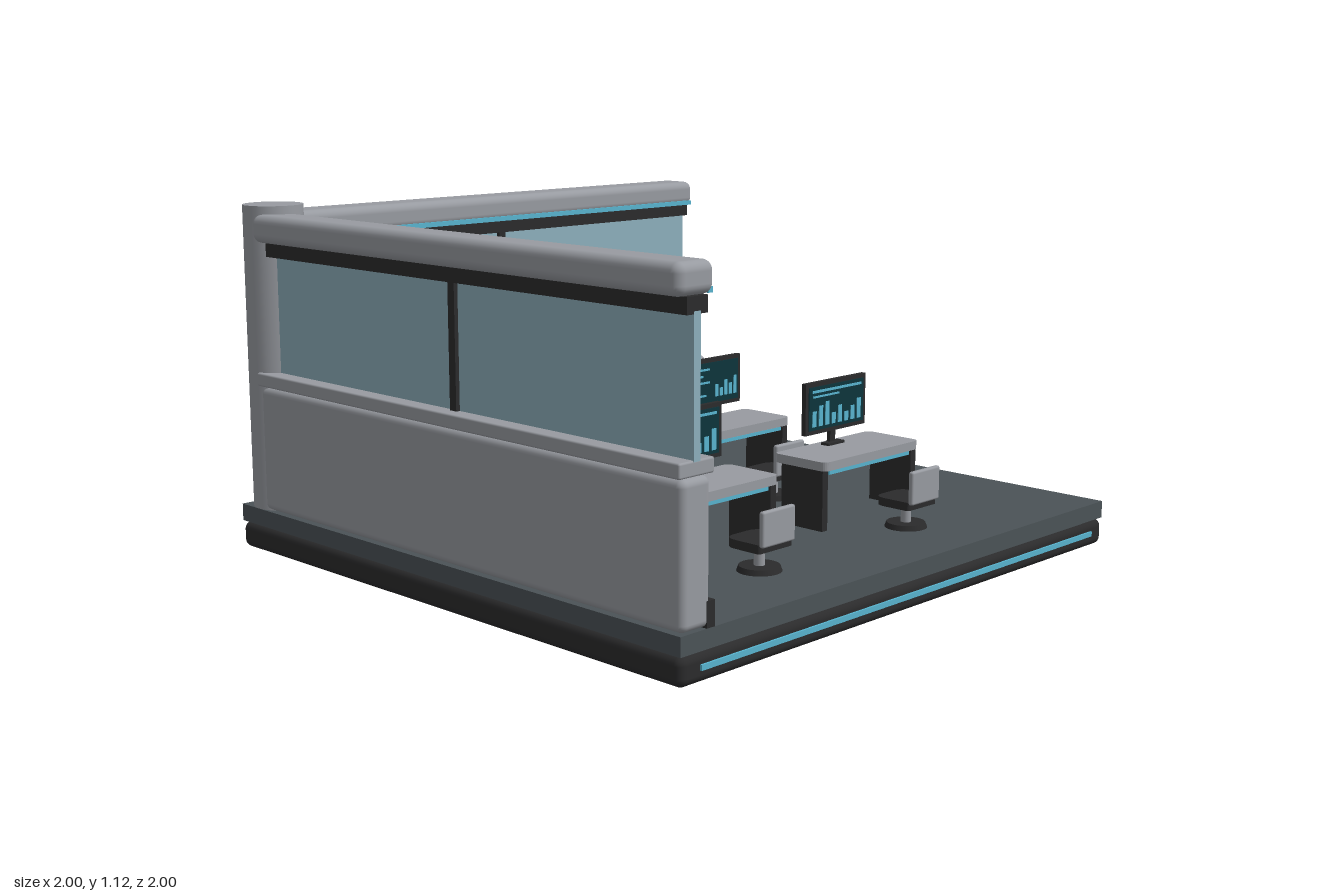
import * as THREE from 'three';
import { RoundedBoxGeometry } from 'three/addons/geometries/RoundedBoxGeometry.js';

function material(name, color) {
  const m = new THREE.MeshStandardMaterial({ color });
  m.name = name;
  return m;
}

export function createModel() {
  const grey = material('panelGrey', 0x989ba1);
  const floorGrey = material('floorGrey', 0x4b5357);
  const dark = material('darkTrim', 0x2b2b2c);
  const cyan = material('glowCyan', 0x58b4cf);
  const glassBlue = material('glassBlue', 0x8dafbc);
  const teal = material('screenTeal', 0x0d343c);

  const add = (parent, name, geo, mat, x, y, z) => {
    const mesh = new THREE.Mesh(geo, mat);
    mesh.name = name;
    mesh.position.set(x, y, z);
    parent.add(mesh);
    return mesh;
  };
  const box = (p, name, mat, w, h, d, x, y, z) =>
    add(p, name, new THREE.BoxGeometry(w, h, d), mat, x, y, z);
  const rbox = (p, name, mat, w, h, d, r, x, y, z) =>
    add(p, name, new RoundedBoxGeometry(w, h, d, 3, r), mat, x, y, z);
  const group = (p, name, x = 0, y = 0, z = 0) => {
    const g = new THREE.Group();
    g.name = name;
    g.position.set(x, y, z);
    p.add(g);
    return g;
  };
  // Slab with a rounded outline seen from above
  const slab = (w, d, h, r, rBack = r) => {
    const s = new THREE.Shape();
    const x = w / 2, z = d / 2;
    s.moveTo(-x + r, -z);
    s.lineTo(x - r, -z);
    s.quadraticCurveTo(x, -z, x, -z + r);
    s.lineTo(x, z - rBack);
    s.quadraticCurveTo(x, z, x - rBack, z);
    s.lineTo(-x + rBack, z);
    s.quadraticCurveTo(-x, z, -x, z - rBack);
    s.lineTo(-x, -z + r);
    s.quadraticCurveTo(-x, -z, -x + r, -z);
    return new THREE.ExtrudeGeometry(s, { depth: h, bevelEnabled: false, curveSegments: 6 })
      .rotateX(-Math.PI / 2);
  };

  const model = new THREE.Group();
  model.name = 'controlRoom';

  // Base and floor
  const base = group(model, 'base');
  rbox(base, 'plinth', dark, 1.985, 0.085, 1.985, 0.025, 0, 0.0425, 0);
  box(base, 'floor', floorGrey, 1.98, 0.055, 1.98, 0, 0.1145, 0);
  box(base, 'frontStrip', cyan, 1.84, 0.016, 0.01, 0, 0.046, 0.994);
  box(base, 'rightStrip', cyan, 0.01, 0.016, 1.84, 0.994, 0.046, 0);

  // Walls: local x runs along the wall, +z faces the room
  const L = 1.86;
  const wall = (name, x, z, turn) => {
    const g = group(model, name, x, 0, z);
    g.rotation.y = turn;
    rbox(g, 'lowerPanel', grey, L, 0.4, 0.11, 0.022, 0, 0.343, 0);
    box(g, 'skirting', dark, L, 0.073, 0.03, 0, 0.178, 0.052);
    rbox(g, 'rail', grey, L, 0.042, 0.13, 0.006, 0, 0.568, 0);
    box(g, 'railStrip', cyan, 1.76, 0.016, 0.01, 0, 0.573, 0.068);
    box(g, 'glass', glassBlue, L, 0.38, 0.024, 0, 0.775, 0);
    for (const mx of [0]) box(g, 'mullion', dark, 0.028, 0.38, 0.05, mx, 0.775, 0);
    box(g, 'upperTrim', dark, L, 0.045, 0.075, 0, 0.98, 0);
    rbox(g, 'topBeam', grey, L, 0.088, 0.138, 0.028, 0, 1.045, 0);
    box(g, 'beamStrip', cyan, 1.82, 0.016, 0.016, 0, 1.01, 0.068);
  };
  wall('backWall', 0.06, -0.93, 0);
  wall('leftWall', -0.93, 0.06, Math.PI / 2);
  add(model, 'cornerColumn', new THREE.CylinderGeometry(0.095, 0.095, 0.975, 32), grey,
    -0.895, 0.6275, -0.895);

  // Screens: thin plates facing +z
  const plate = (g, mat, w, h, x, y, z = 0.003) =>
    box(g, 'screenMark', mat, w, h, 0.003, x, y, z);
  const bars = (g, heights, x0, step, w, y0) =>
    heights.forEach((h, i) => plate(g, cyan, w, h, x0 + i * step, y0 + h / 2));
  const screen = (p, w, h, kind) => {
    const g = group(p, 'screen');
    box(g, 'screenPanel', teal, w, h, 0.004, 0, 0, 0);
    if (kind === 'chart') {
      plate(g, cyan, w * 0.9, 0.008, 0, h * 0.39);
      plate(g, cyan, w * 0.48, 0.006, -w * 0.2, h * 0.27);
      bars(g, [0.05, 0.065, 0.075, 0.035, 0.055, 0.03, 0.045, 0.065],
        -w * 0.41, w * 0.117, w * 0.07, -h * 0.42);
    } else {
      [0.4, 0.28, 0.4, 0.22, 0.34].forEach((k, i) =>
        plate(g, cyan, w * k, 0.007, -w * 0.43 + w * k / 2, h * (0.34 - i * 0.16)));
      bars(g, [0.3, 0.2, 0.38, 0.28, 0.45].map((k) => k * h),
        w * 0.1, w * 0.085, w * 0.055, -h * 0.36);
    }
    return g;
  };

  // Large wall display
  const display = group(model, 'wallDisplay', -0.048, 0.51, -0.885);
  box(display, 'displayFrame', dark, 1.035, 0.38, 0.03, 0, 0, 0);
  const big = group(display, 'displayScreen', 0, 0, 0.016);
  box(big, 'screenPanel', teal, 0.97, 0.325, 0.004, 0, -0.005, 0);
  plate(big, cyan, 0.9, 0.02, 0, 0.126);
  plate(big, glassBlue, 0.4, 0.026, -0.2, 0.077);
  bars(big, [0.17, 0.155, 0.13, 0.1, 0.06, 0.13, 0.15, 0.16, 0.11], -0.41, 0.1025, 0.058, -0.155);

  // Desk with monitor
  const desk = (x, z, kind) => {
    const g = group(model, 'desk', x, 0, z);
    add(g, 'deskTop', slab(0.47, 0.208, 0.028, 0.025), grey, 0, 0.332, 0);
    for (const s of [-1, 1])
      box(g, 'deskLeg', dark, 0.025, 0.19, 0.165, s * 0.22, 0.237, 0.01);
    box(g, 'deskStrip', cyan, 0.4, 0.012, 0.008, 0, 0.322, 0.088);
    box(g, 'monitorFoot', dark, 0.08, 0.008, 0.03, 0, 0.364, -0.06);
    box(g, 'monitorStand', dark, 0.025, 0.12, 0.014, 0, 0.42, -0.068);
    box(g, 'monitorCase', dark, 0.295, 0.165, 0.016, 0, 0.489, -0.058);
    screen(g, 0.268, 0.138, kind).position.set(0, 0.489, -0.049);
  };

  // Swivel chair
  const chair = (x, z) => {
    const g = group(model, 'chair', x, 0, z);
    add(g, 'chairFoot', new THREE.CylinderGeometry(0.06, 0.066, 0.016, 24), dark, 0, 0.151, 0);
    add(g, 'chairStem', new THREE.CylinderGeometry(0.016, 0.016, 0.07, 16), grey, 0, 0.186, 0);
    add(g, 'chairSeat', slab(0.143, 0.135, 0.026, 0.012, 0.045), dark, 0, 0.214, -0.005);
    rbox(g, 'chairBack', grey, 0.138, 0.105, 0.018, 0.007, 0, 0.284, 0.066);
  };

  for (const x of [-0.4, 0.28])
    for (const z of [-0.05, 0.495]) {
      desk(x, z, x > 0 && z < 0 ? 'list' : 'chart');
      chair(x, z + 0.235);
    }

  // Kiosk: pedestal leaning back slightly, with a tilted console
  const kiosk = group(model, 'kiosk', 0.633, 0, -0.68);
  const pedestal = slab(0.19, 0.165, 0.335, 0.02, 0.045);
  const pos = pedestal.attributes.position;
  for (let i = 0; i < pos.count; i++) {
    if (pos.getY(i) > 0.1) {
      pos.setX(i, pos.getX(i) * 0.95);
      if (pos.getZ(i) > 0) pos.setZ(i, pos.getZ(i) - 0.035);
    }
  }
  pedestal.computeVertexNormals();
  add(kiosk, 'pedestal', pedestal, grey, 0, 0.142, 0);
  const consoleHead = group(kiosk, 'console', 0, 0.49, 0.043);
  consoleHead.rotation.x = 0.5 - Math.PI / 2;
  rbox(consoleHead, 'consoleCase', grey, 0.225, 0.155, 0.022, 0.006, 0, 0, 0);
  box(consoleHead, 'consoleBezel', dark, 0.2, 0.128, 0.004, 0, 0, 0.011);
  screen(consoleHead, 0.18, 0.108, 'list').position.z = 0.013;

  return model;
}
